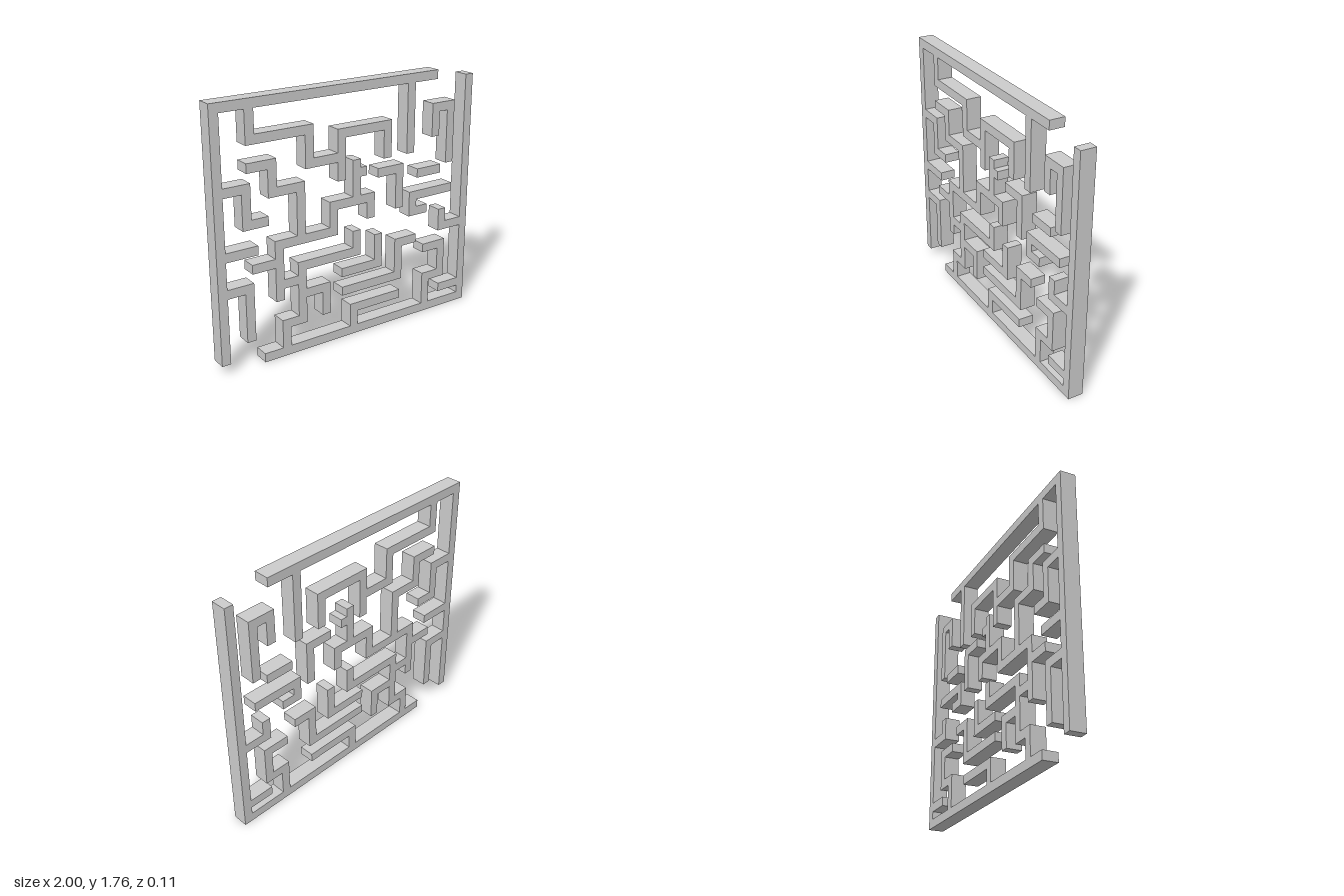
import * as THREE from 'three';

const HALF = 0.0313;  // half of the wall thickness
const DEPTH = 0.106;  // front-to-back size

// Centre lines of the walls: x, y of each corner. Branches butt against their parent wall.
const walls = {
  frameLeftTop: [[-0.969, 0.068], [-0.969, 1.729], [0.69, 1.729]],
  frameBottomRight: [[-0.69, 0.0313], [0.969, 0.0313], [0.969, 1.7]],

  // upper part
  topStair: [[-0.742, 1.698], [-0.742, 1.508], [-0.327, 1.508], [-0.327, 1.289], [-0.116, 1.289]],
  upperArch: [[-0.085, 1.13], [-0.085, 1.445], [0.28, 1.445], [0.28, 1.22]],
  topDrop: [[0.471, 1.698], [0.471, 1.22]],
  rightHook: [[0.686, 1.303], [0.686, 1.504], [0.815, 1.504], [0.815, 1.097]],

  // left side
  leftStair: [[-0.938, 1.209], [-0.782, 1.209], [-0.782, 0.973], [-0.632, 0.973]],
  leftStub: [[-0.938, 0.795], [-0.712, 0.795]],
  leftDrop: [[-0.938, 0.551], [-0.782, 0.551], [-0.782, 0.18]],

  // centre
  centreStair: [[-0.775, 1.335], [-0.598, 1.335], [-0.598, 1.15], [-0.396, 1.15], [-0.396, 0.826]],
  centreStep: [[-0.562, 0.407], [-0.562, 0.795], [-0.15, 0.795], [-0.15, 0.971], [0.146, 0.971], [0.146, 0.825]],
  centrePost: [[0.032, 1.002], [0.032, 1.252]],
  centrePostNub: [[0.063, 1.162], [0.113, 1.162]],
  centreLeftStub: [[-0.758, 0.674], [-0.593, 0.674]],
  centreLink: [[-0.531, 0.518], [-0.427, 0.518]],
  centreHook: [[0.203, 1.128], [0.383, 1.128], [0.383, 0.847]],

  // lower part
  lowerStair: [[0.032, 0.76], [0.032, 0.61], [-0.396, 0.61], [-0.396, 0.23], [-0.521, 0.23], [-0.521, 0.0626]],
  lowerStairHook: [[-0.365, 0.411], [-0.211, 0.411], [-0.211, 0.214]],
  lowerElbow: [[-0.086, 0.481], [0.211, 0.481], [0.211, 0.695]],
  lowerStep: [[-0.086, 0.344], [0.384, 0.344], [0.384, 0.59], [0.535, 0.59]],
  bottomElbow: [[0.011, 0.0626], [0.011, 0.197], [0.401, 0.197]],

  // right side
  floatingBar: [[0.535, 1.065], [0.738, 1.065]],
  rightBracket: [[0.845, 0.909], [0.502, 0.909], [0.502, 0.795], [0.626, 0.795]],
  rightElbow: [[0.938, 0.631], [0.769, 0.631], [0.769, 0.76]],
  rightSnake: [[0.604, 0.494], [0.769, 0.494], [0.769, 0.268], [0.635, 0.268], [0.635, 0.0626]],
  rightStub: [[0.938, 0.148], [0.759, 0.148]],
};

// Turns a right-angled centre line into a mitred strip and extrudes it
function wallGeometry(path) {
  const points = path.map(([x, y]) => new THREE.Vector2(x, y));
  const normals = points.slice(1).map((p, i) => {
    const d = p.clone().sub(points[i]).normalize();
    return new THREE.Vector2(-d.y, d.x);
  });
  const side = (sign) => points.map((p, i) => {
    const q = p.clone();
    if (i > 0) q.addScaledVector(normals[i - 1], sign * HALF);
    if (i < normals.length) q.addScaledVector(normals[i], sign * HALF);
    return q;
  });
  const shape = new THREE.Shape([...side(1), ...side(-1).reverse()]);
  return new THREE.ExtrudeGeometry(shape, { depth: DEPTH, bevelEnabled: false })
    .translate(0, 0, -DEPTH / 2);
}

export function createModel() {
  const model = new THREE.Group();
  model.name = 'mazePanel';
  const material = new THREE.MeshStandardMaterial({ color: 0xcccccc });
  for (const [name, path] of Object.entries(walls)) {
    const wall = new THREE.Mesh(wallGeometry(path), material);
    wall.name = name;
    model.add(wall);
  }
  return model;
}
